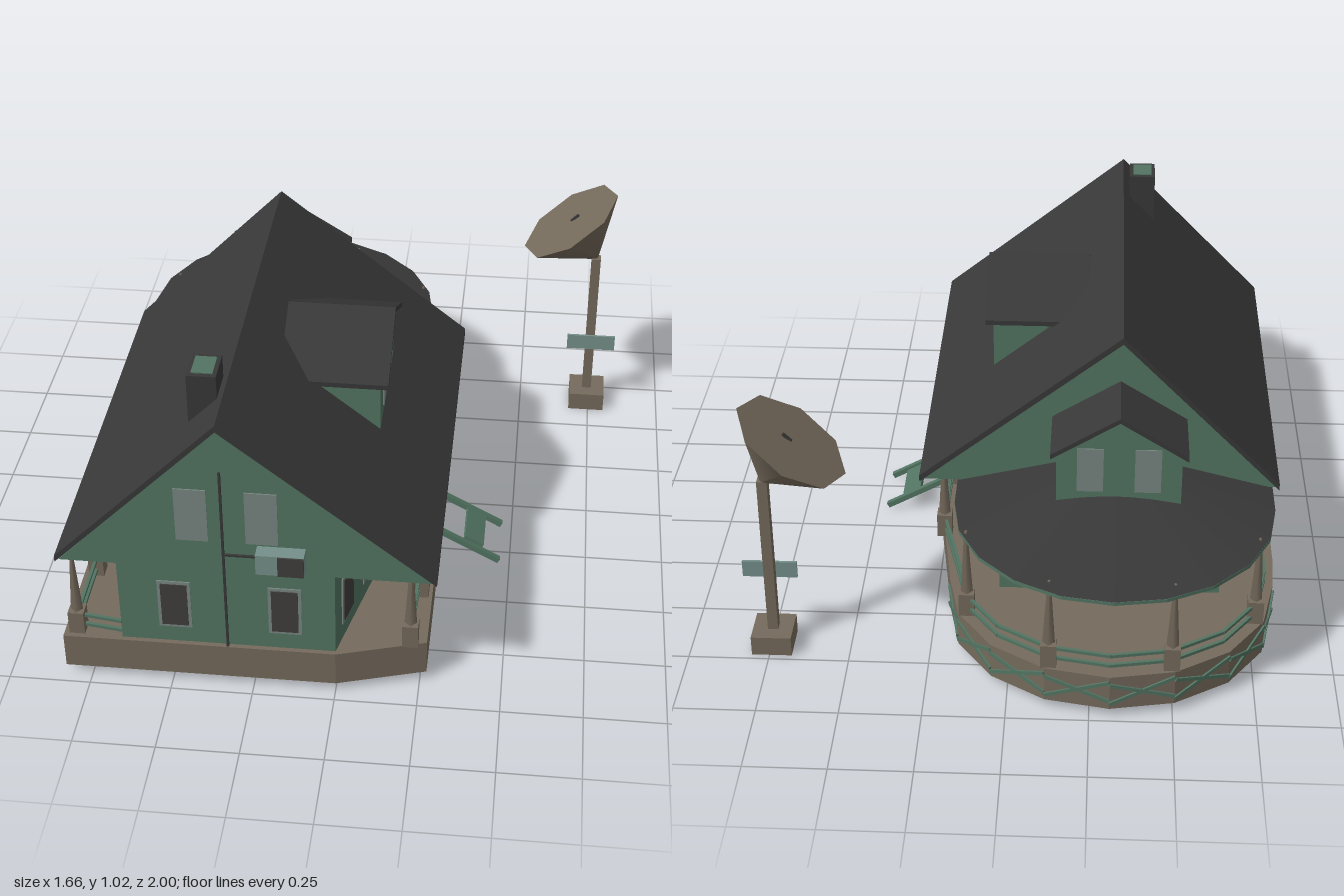
import * as THREE from 'three';

const mat = (name, color, side = THREE.FrontSide) => {
  const m = new THREE.MeshStandardMaterial({ color, side });
  m.name = name;
  return m;
};

export function createModel() {
  const model = new THREE.Group();
  model.name = 'house';
  const green = mat('green paint', 0x527462);
  const dark = mat('dark roofing', 0x393838, THREE.DoubleSide);
  const brown = mat('brown wood', 0x756a5c);
  const pane = mat('dark pane', 0x403e3c);
  const glass = mat('pale glass', 0x788682);
  const sign = mat('grey green panel', 0x75908a);

  const add = (name, geo, material, parent = model) => {
    const m = new THREE.Mesh(geo, material);
    m.name = name;
    parent.add(m);
    return m;
  };
  const box = (name, x0, x1, y0, y1, z0, z1, m, parent) => {
    const b = add(name, new THREE.BoxGeometry(x1 - x0, y1 - y0, z1 - z0), m, parent);
    b.position.set((x0 + x1) / 2, (y0 + y1) / 2, (z0 + z1) / 2);
    return b;
  };
  // Prism with an x,y outline, running along z
  const prism = (name, pts, z0, z1, m, parent) => {
    const s = new THREE.Shape(pts.map(p => new THREE.Vector2(...p)));
    const g = new THREE.ExtrudeGeometry(s, { depth: z1 - z0, bevelEnabled: false });
    return add(name, g.translate(0, 0, z0), m, parent);
  };
  // Slab with an x,z floor plan
  const slab = (name, pts, y0, y1, m) => {
    const s = new THREE.Shape(pts.map(([x, z]) => new THREE.Vector2(x, -z)));
    const g = new THREE.ExtrudeGeometry(s, { depth: y1 - y0, bevelEnabled: false });
    return add(name, g.rotateX(-Math.PI / 2).translate(0, y0, 0), m);
  };
  // Straight bar between two points
  const bar = (name, a, b, t, m) => {
    const p = new THREE.Vector3(...a), q = new THREE.Vector3(...b);
    const r = add(name, new THREE.BoxGeometry(t, t, p.distanceTo(q)), m);
    r.position.copy(p).lerp(q, 0.5);
    r.lookAt(q);
  };
  // Thin framed window whose face points along +z before turning
  const windowAt = (x, y, z, turn, w, h, fill, parent = model) => {
    const g = new THREE.Group();
    g.name = 'window';
    g.position.set(x, y, z);
    g.rotation.y = turn;
    box('windowFrame', -w / 2, w / 2, -h / 2, h / 2, -0.002, 0.004, glass, g);
    if (fill !== glass) box('windowPane', -w / 2 + 0.01, w / 2 - 0.01, -h / 2 + 0.01, h / 2 - 0.01, 0, 0.007, fill, g);
    parent.add(g);
  };
  const chevron = (name, x0, xm, x1, eave, peak, t, z0, z1, parent) => prism(name,
    [[x0, eave - t], [xm, peak - t], [x1, eave - t], [x1, eave], [xm, peak], [x0, eave]], z0, z1, dark, parent);

  // Half ellipse around the rear, from the +x side to the -x side
  const rear = (cx, cz, rx, rz, n) => Array.from({ length: n + 1 }, (_, i) => {
    const a = Math.PI * i / n;
    return [cx + rx * Math.cos(a), cz - rz * Math.sin(a)];
  });

  // Deck
  const deckArc = rear(-0.31, -0.5, 0.51, 0.48, 8);
  slab('deck', [[-0.83, 0.96], [0, 0.96], [0.27, 0.88], [0.27, 0], [0.22, -0.35], ...deckArc, [-0.83, -0.35]], 0.03, 0.147, brown);

  // Ground floor and attic
  slab('groundFloorWalls', [[-0.65, 0.945], [0, 0.945], [0.12, 0.42], [0.12, -0.06], [0.04, -0.2], [0.04, -0.54], [-0.65, -0.54]], 0.14, 0.45, green);
  prism('atticGables', [[-0.82, 0.44], [0.29, 0.44], [-0.33, 0.95]], -0.375, 0.95, green);
  chevron('mainRoof', -0.83, -0.33, 0.3, 0.46, 0.967, 0.022, -0.39, 0.96);

  // Rounded rear porch roof: sloping fan above a flat ceiling
  const rim = [[0.18, -0.2], ...rear(-0.315, -0.5, 0.495, 0.5, 10), [-0.81, -0.2]];
  const fan = [];
  rim.slice(1).forEach(([x, z], i) => fan.push(rim[i][0], 0.437, rim[i][1], x, 0.437, z, -0.32, 0.56, -0.38));
  const fanGeo = new THREE.BufferGeometry();
  fanGeo.setAttribute('position', new THREE.Float32BufferAttribute(fan, 3));
  fanGeo.computeVertexNormals();
  add('rearPorchRoof', fanGeo, dark);
  slab('rearPorchCeiling', rim, 0.425, 0.436, green);

  // Dormers
  const dormer = (name, x, z, turn, hw, bottom, eave, peak, back, front) => {
    const g = new THREE.Group();
    g.name = name;
    g.position.set(x, 0, z);
    g.rotation.y = turn;
    prism('dormerWalls', [[-hw, bottom], [hw, bottom], [hw, eave], [0, peak - 0.012], [-hw, eave]], back, front, green, g);
    chevron('dormerRoof', -hw - 0.018, 0, hw + 0.018, eave, peak, 0.016, back - 0.02, front + 0.025, g);
    for (const s of [-1, 1]) windowAt(s * hw * 0.46, eave - 0.065, front, 0, 0.08, 0.15, glass, g);
    model.add(g);
  };
  dormer('sideDormer', 0, 0.245, Math.PI / 2, 0.22, 0.58, 0.805, 0.935, -0.2, 0.087);
  dormer('rearDormer', -0.325, 0, Math.PI, 0.19, 0.45, 0.68, 0.81, 0.3, 0.575);

  // Chimney
  box('chimney', -0.437, -0.35, 0.8, 1.02, 0.685, 0.8, dark);
  box('chimneyOpening', -0.425, -0.362, 1.015, 1.023, 0.7, 0.785, green);

  // Windows and doors
  for (const x of [-0.415, -0.21]) windowAt(x, 0.64, 0.95, 0, 0.095, 0.185, glass);
  for (const x of [-0.482, -0.15]) windowAt(x, 0.293, 0.945, 0, 0.1, 0.175, pane);
  const slant = Math.atan2(0.525, 0.12);
  for (const z of [0.84, 0.65]) windowAt((0.945 - z) * 0.12 / 0.525, 0.293, z, slant, 0.1, 0.175, pane);
  for (const z of [-0.3, -0.45]) windowAt(0.04, 0.293, z, Math.PI / 2, 0.095, 0.175, pane);
  windowAt(0.12, 0.265, 0.21, Math.PI / 2, 0.1, 0.24, glass);
  for (const z of [0.84, 0.65, -0.1, -0.4]) windowAt(-0.65, 0.293, z, -Math.PI / 2, 0.1, 0.175, pane);
  for (const x of [-0.5, -0.12]) windowAt(x, 0.293, -0.54, Math.PI, 0.1, 0.175, pane);

  // Porch posts: square foot under a tapering shaft
  const post = (x, z) => {
    box('postFoot', x - 0.024, x + 0.024, 0.145, 0.225, z - 0.024, z + 0.024, brown);
    add('postShaft', new THREE.CylinderGeometry(0.005, 0.019, 0.225, 4), brown).position.set(x, 0.335, z);
  };
  for (const z of [0.65, 0.34, 0.07, -0.24]) post(0.235, z);
  for (const z of [0.92, 0.65, 0.34, 0.07, -0.24]) post(-0.79, z);
  post(0.22, 0.88);
  const railArc = rear(-0.31, -0.5, 0.48, 0.45, 8);
  railArc.forEach(([x, z], i) => i % 2 ? post(x, z) : 0);

  // Railings, with a gap at the steps
  const runs = [
    [[0.22, 0.88], [0.235, 0.34]],
    [[0.235, 0.07], [0.235, -0.24], ...railArc, [-0.79, -0.24], [-0.79, 0.92], [-0.65, 0.94]],
  ];
  for (const run of runs) for (let i = 1; i < run.length; i++) for (const y of [0.17, 0.205]) {
    bar('railing', [run[i - 1][0], y, run[i - 1][1]], [run[i][0], y, run[i][1]], 0.01, green);
  }
  // Slanting slats around the rear of the deck
  for (let i = 1; i < deckArc.length; i++) {
    const [a, b] = [deckArc[i - 1], deckArc[i]];
    bar('deckSlat', [a[0], 0.05, a[1]], [b[0], 0.13, b[1]], 0.012, green);
    bar('deckSlat', [a[0], 0.12, a[1]], [b[0], 0.06, b[1]], 0.012, green);
  }
  // Loose leaning poles
  bar('leaningPole', [-0.705, 0.15, 0.5], [-0.66, 0.44, 0.5], 0.01, green);
  bar('leaningPole', [0.2, 0.15, 0.1], [0.2, 0.44, 0.18], 0.01, green);

  // Side steps
  for (const z of [0.115, 0.305]) bar('stepStringer', [0.26, 0.125, z], [0.465, 0.012, z], 0.018, green);
  const tread = box('stepTread', 0.345, 0.415, 0.055, 0.067, 0.12, 0.28, green);
  tread.rotation.z = -0.5;

  // Front cable and wall unit
  box('cable', -0.329, -0.322, 0.12, 0.8, 0.95, 0.957, dark);
  box('cable', -0.325, -0.22, 0.498, 0.504, 0.95, 0.957, dark);
  box('wallUnit', -0.225, -0.083, 0.47, 0.54, 0.945, 0.995, sign);
  box('wallUnitGrille', -0.16, -0.083, 0.471, 0.539, 0.994, 1, pane);

  // Dish on its post
  box('dishBase', 0.68, 0.805, 0, 0.065, -0.73, -0.602, brown);
  box('dishPost', 0.726, 0.758, 0.06, 0.61, -0.683, -0.649, brown);
  box('postSign', 0.66, 0.83, 0.24, 0.296, -0.648, -0.64, sign);
  const axis = new THREE.Vector3(0.57, -0.82, 0).normalize();
  const dish = add('dish', new THREE.ConeGeometry(0.19, 0.18, 8), brown);
  dish.quaternion.setFromUnitVectors(new THREE.Vector3(0, 1, 0), axis);
  dish.position.set(0.696, 0.676, -0.67);
  bar('dishFeed', [0.645, 0.75, -0.67], [0.67, 0.775, -0.67], 0.008, dark);

  return model;
}
